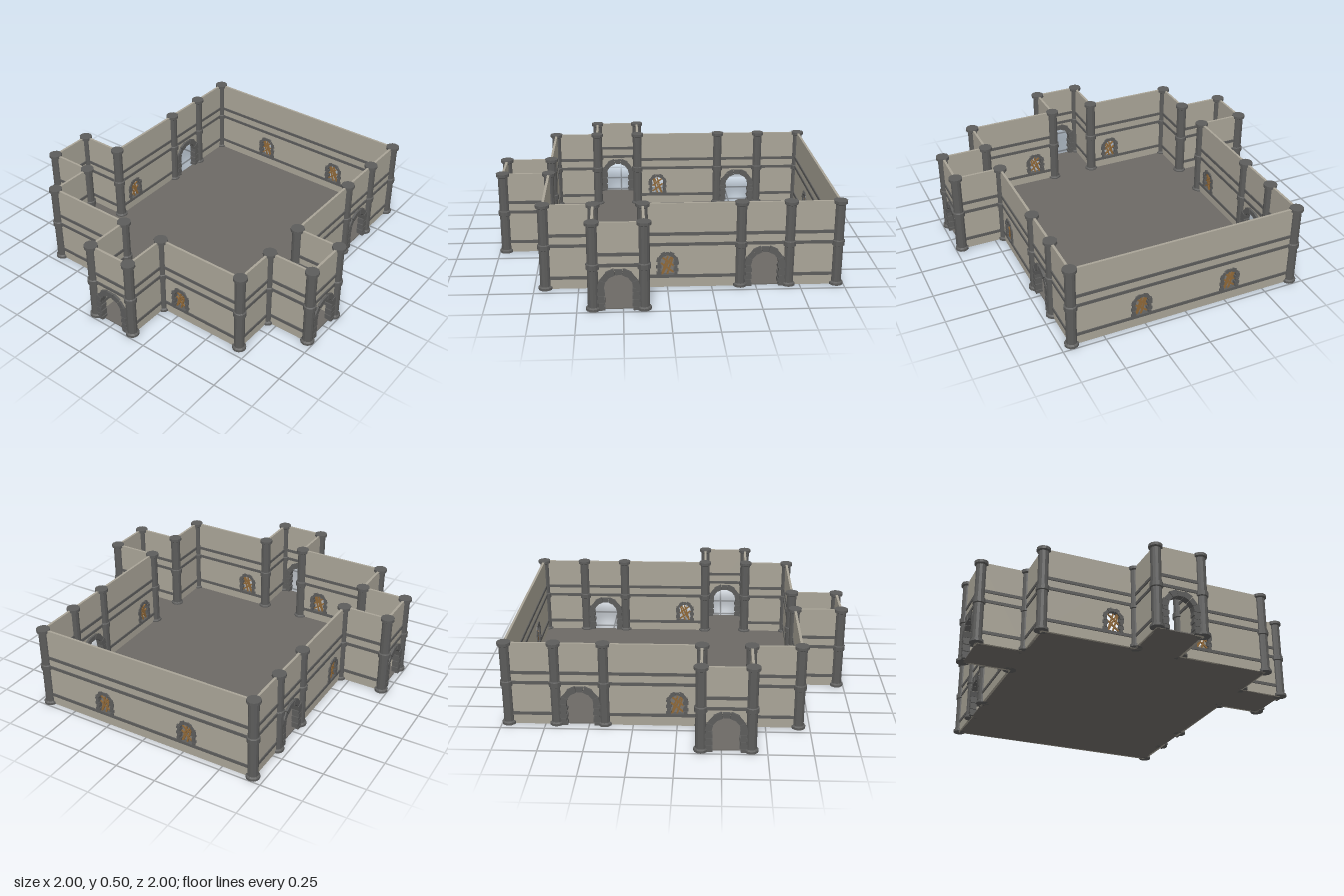
import * as THREE from 'three';

const CELL = 1.92 / 7, WALL_H = 0.502, WALL_T = 0.014;
const grid = (i) => (i - 3.5) * CELL;

const mat = (name, color, extra = {}) => {
  const m = new THREE.MeshStandardMaterial({ color, flatShading: true, ...extra });
  m.name = name;
  return m;
};

export function createModel() {
  const plaster = mat('plaster', 0xa9a497);
  const stone = mat('darkStone', 0x5c5c5b);
  const paving = mat('paving', 0x6c6965);
  const wood = mat('wood', 0x8f6838);

  const root = new THREE.Group();
  root.name = 'courtyardFort';

  const add = (parent, name, geometry, material, x = 0, y = 0, z = 0) => {
    const mesh = new THREE.Mesh(geometry, material);
    mesh.name = name;
    mesh.position.set(x, y, z);
    parent.add(mesh);
    return mesh;
  };
  const extrude = (shape, depth) =>
    new THREE.ExtrudeGeometry(shape, { depth, bevelEnabled: false, curveSegments: 10 }).translate(0, 0, -depth / 2);

  // Stone surround: alternating jamb blocks below a ring of wedge stones
  function surround(parent, name, x, base, spring, inner, outer, depth, rows, wedges) {
    const g = new THREE.Group();
    g.name = name;
    g.position.x = x;
    parent.add(g);
    const h = (spring - base) / rows;
    for (const side of [-1, 1]) {
      for (let i = 0; i < rows; i++) {
        const odd = (i + (side > 0 ? 1 : 0)) % 2;
        const a = inner - (odd ? 0.006 : 0), b = outer - (odd ? 0 : 0.006);
        add(g, 'jambStone', new THREE.BoxGeometry(b - a, h * 0.95, depth - odd * 0.004), stone,
          side * (a + b) / 2, base + h * (i + 0.5));
      }
    }
    for (let i = 0; i < wedges; i++) {
      const a0 = (i + 0.03) * Math.PI / wedges, a1 = (i + 0.97) * Math.PI / wedges;
      const r1 = outer - (i % 2 ? 0.005 : 0);
      const shape = new THREE.Shape([[inner, a0], [r1, a0], [r1, a1], [inner, a1]]
        .map(([r, a]) => new THREE.Vector2(r * Math.cos(a), spring + r * Math.sin(a))));
      add(g, 'archStone', extrude(shape, depth - (i % 2) * 0.004), stone);
    }
    return g;
  }

  // Crossed wooden slats inside a window: x, y, length, tilt
  const SLATS = [
    [-0.016, 0.13, 0.115, 0.3], [0.014, 0.13, 0.115, 0.3], [0, 0.135, 0.12, 0.45],
    [0, 0.115, 0.09, -0.9], [0, 0.155, 0.09, -0.9],
  ];

  // Wall run between two grid points; features are [kind, distance in cells]
  function wall([x0, z0], [x1, z1], features) {
    const g = new THREE.Group();
    g.name = 'wallRun';
    g.position.set(grid(x0), 0, grid(z0));
    g.rotation.y = Math.atan2(-(z1 - z0), x1 - x0);
    root.add(g);
    const L = Math.hypot(x1 - x0, z1 - z0) * CELL;
    const doors = features.filter((f) => f[0] === 'door').map((f) => f[1] * CELL);
    const windows = features.filter((f) => f[0] === 'window').map((f) => f[1] * CELL);

    const shape = new THREE.Shape();
    shape.moveTo(0, 0);
    for (const d of doors) {
      shape.lineTo(d - 0.09, 0);
      shape.lineTo(d - 0.09, 0.13);
      shape.absarc(d, 0.13, 0.09, Math.PI, 0, true);
      shape.lineTo(d + 0.09, 0);
    }
    shape.lineTo(L, 0);
    shape.lineTo(L, WALL_H);
    shape.lineTo(0, WALL_H);
    for (const w of windows) {
      const hole = new THREE.Path();
      hole.moveTo(w - 0.048, 0.075);
      hole.lineTo(w + 0.048, 0.075);
      hole.lineTo(w + 0.048, 0.155);
      hole.absarc(w, 0.155, 0.048, 0, Math.PI, false);
      shape.holes.push(hole);
    }
    add(g, 'wallPanel', extrude(shape, WALL_T), plaster);

    // String courses; the lowest one stops at each doorway
    const band = (a, b, y) =>
      add(g, 'stringCourse', new THREE.BoxGeometry(b - a, 0.018, 0.026), stone, (a + b) / 2, y);
    band(0, L, 0.322);
    band(0, L, 0.26);
    let from = 0;
    for (const d of doors) {
      band(from, d - 0.1, 0.067);
      from = d + 0.1;
    }
    band(from, L, 0.067);

    for (const d of doors) surround(g, 'doorSurround', d, 0, 0.13, 0.079, 0.116, 0.044, 6, 7);
    for (const w of windows) {
      const frame = surround(g, 'windowSurround', w, 0.074, 0.155, 0.04, 0.063, 0.03, 4, 7);
      for (const [x, y, len, tilt] of SLATS) {
        add(frame, 'windowSlat', new THREE.BoxGeometry(0.009, len, 0.007), wood, x, y).rotation.z = tilt;
      }
    }
  }

  // Plan outline in grid steps, each corner with the openings of the run that follows
  const plan = [
    [[1, 1], []], [[2, 1], []], [[2, 0], [['door', 0.5]]], [[3, 0], []],
    [[3, 1], [['window', 0.5], ['door', 2.5]]],
    [[7, 1], [['window', 1.5], ['window', 3.5]]],
    [[7, 6], [['door', 1.5], ['window', 3.5]]],
    [[3, 6], []], [[3, 7], [['door', 0.5]]], [[2, 7], []], [[2, 6], []],
    [[1, 6], [['window', 1.5]]], [[1, 4], []], [[0, 4], [['door', 0.5]]],
    [[0, 3], []], [[1, 3], [['window', 0.5]]],
  ];
  plan.forEach(([p, features], i) => wall(p, plan[(i + 1) % plan.length][0], features));

  // Floor slab
  const floorShape = new THREE.Shape(plan.map(([[x, z]]) => new THREE.Vector2(grid(x), -grid(z))));
  const floor = new THREE.ExtrudeGeometry(floorShape, { depth: 0.006, bevelEnabled: false });
  add(root, 'floor', floor.rotateX(-Math.PI / 2), paving);

  // Round pillars with base, middle collar and capital
  const profile = [
    [0, 0], [0.04, 0], [0.04, 0.014], [0.03, 0.02], [0.03, 0.236], [0.037, 0.24], [0.037, 0.268],
    [0.03, 0.272], [0.03, 0.482], [0.04, 0.488], [0.04, 0.505], [0, 0.505],
  ].map(([r, y]) => new THREE.Vector2(r, y));
  const pillarGeometry = new THREE.LatheGeometry(profile, 12);
  const pillars = [...plan.map(([p]) => p), [5, 1], [6, 1], [5, 6], [6, 6]];
  for (const [x, z] of pillars) add(root, 'pillar', pillarGeometry, stone, grid(x), 0, grid(z));

  return root;
}
